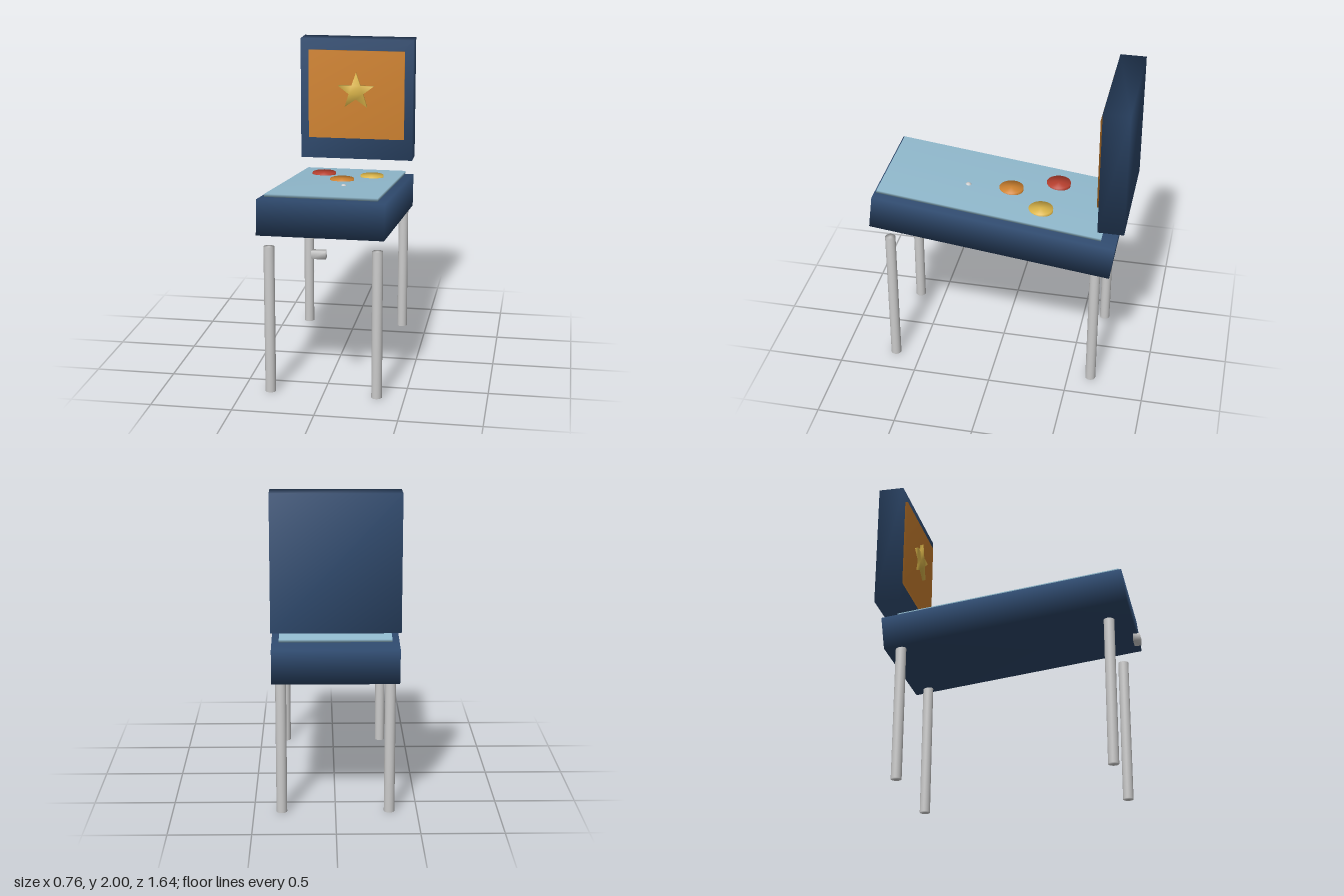
import * as THREE from 'three';
import { mergeVertices } from 'three/addons/utils/BufferGeometryUtils.js';

const TILT = -0.12; // table slopes down towards the back

const material = (color) => new THREE.MeshStandardMaterial({ color });
const navy = material(0x2f4a6e);
const orange = material(0xd08330);
const gold = material(0xdcb64a);
const red = material(0xb8402f);
const glass = material(0x92bbcf);
const grey = material(0xcccccc);

// Shared corner vertices give soft shading across the edges
function soften(geometry) {
  geometry.deleteAttribute('normal');
  geometry.deleteAttribute('uv');
  const merged = mergeVertices(geometry, 1e-4);
  merged.computeVertexNormals();
  return merged;
}

function starShape(outer, inner) {
  const points = [];
  for (let i = 0; i < 10; i++) {
    const r = i % 2 ? inner : outer;
    const a = Math.PI / 2 + (i * Math.PI) / 5;
    points.push(new THREE.Vector2(r * Math.cos(a), r * Math.sin(a)));
  }
  return new THREE.Shape(points);
}

export function createModel() {
  const model = new THREE.Group();
  model.name = 'pinballTable';

  const add = (name, geometry, mat, x, y, z, tilt = 0) => {
    const mesh = new THREE.Mesh(soften(geometry), mat);
    mesh.name = name;
    mesh.position.set(x, y, z);
    mesh.rotation.x = tilt;
    model.add(mesh);
  };
  const box = (w, h, d) => new THREE.BoxGeometry(w, h, d);

  // Sloping cabinet and the playfield sheet floating just above it
  add('cabinet', box(0.765, 0.217, 1.537), navy, 0, 1.045, 0.01, TILT);
  add('playfield', box(0.675, 0.018, 1.425), glass, 0, 1.18, 0.033, TILT);

  // Upright backbox with its display panel and star
  add('backbox', box(0.765, 0.82, 0.163), navy, 0, 1.59, -0.736);
  add('displayPanel', box(0.653, 0.6, 0.02), orange, 0, 1.625, -0.648);
  const star = new THREE.ExtrudeGeometry(starShape(0.128, 0.051), { depth: 0.025, bevelEnabled: false });
  add('star', star, gold, 0, 1.65, -0.64);

  // Bumpers stand level, poking through the playfield
  const bumpers = [
    ['redBumper', red, -0.165, 1.135, -0.325],
    ['yellowBumper', gold, 0.163, 1.14, -0.268],
    ['orangeBumper', orange, 0, 1.165, -0.048],
  ];
  for (const [name, mat, x, y, z] of bumpers) {
    add(name, new THREE.CylinderGeometry(0.077, 0.077, 0.05, 32), mat, x, y, z);
  }
  add('ball', new THREE.SphereGeometry(0.022, 20, 14), grey, 0.053, 1.199, 0.22);

  // Plunger knob in front of the cabinet
  add('plunger', box(0.085, 0.048, 0.043), grey, 0, 0.936, 0.8);

  // Four round legs
  for (const [side, x] of [['Left', 0.33], ['Right', -0.33]]) {
    for (const [end, z] of [['front', 0.668], ['back', -0.645]]) {
      add(`${end}${side}Leg`, new THREE.CylinderGeometry(0.033, 0.033, 0.93, 24), grey, x, 0.465, z);
    }
  }

  return model;
}
